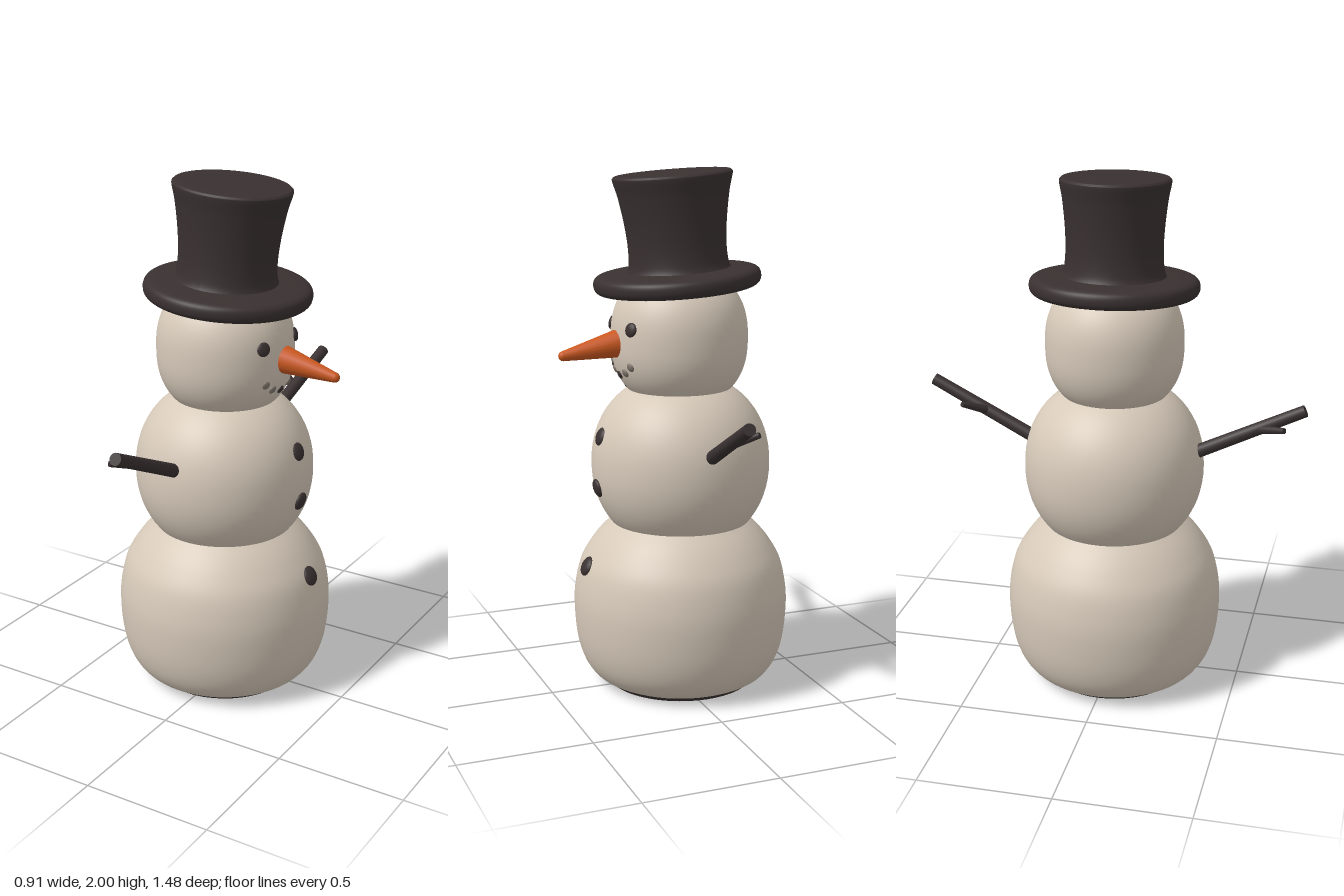
import * as THREE from 'three';

const V = (x, y, z) => new THREE.Vector3(x, y, z);
const mat = (name, color) => {
  const m = new THREE.MeshStandardMaterial({ color });
  m.name = name;
  return m;
};

export function createModel() {
  const snow = mat('snow', 0xd6c9b9);
  const coal = mat('coal', 0x3a3131);
  const carrot = mat('carrot', 0xca5820);
  const pebble = mat('pebble', 0x857b72);

  const model = new THREE.Group();
  model.name = 'snowman';
  const add = (name, geometry, material, parent = model) => {
    const mesh = new THREE.Mesh(geometry, material);
    mesh.name = name;
    parent.add(mesh);
    return mesh;
  };
  // Smooth solid of revolution through a few [radius, height] points
  const turned = (pts, steps = 40) => new THREE.LatheGeometry(
    new THREE.SplineCurve(pts.map(([r, y]) => new THREE.Vector2(r, y))).getPoints(steps)
      .map(p => p.set(Math.max(p.x, 0), p.y)), 56);
  // Slightly squared-off snowball
  const ball = (radius, power) => {
    const pts = [];
    for (let i = 0; i <= 36; i++) {
      const a = -Math.PI / 2 + Math.PI * i / 36;
      const c = Math.max(Math.cos(a), 0), s = Math.sin(a);
      pts.push(new THREE.Vector2(radius * c ** (2 / power),
        radius * Math.sign(s) * Math.abs(s) ** (2 / power)));
    }
    return new THREE.LatheGeometry(pts, 56);
  };
  // Tapered round stick from a to b
  const stick = (name, a, b, r0, r1, material, parent) => {
    const d = b.clone().sub(a);
    const mesh = add(name, new THREE.CylinderGeometry(r1, r0, d.length(), 20), material, parent);
    mesh.position.copy(a).addScaledVector(d, 0.5);
    mesh.quaternion.setFromUnitVectors(V(0, 1, 0), d.normalize());
    return mesh;
  };

  // Body
  add('lowerBody', turned([[0.29, 0.012], [0.34, 0.04], [0.382, 0.1], [0.408, 0.19], [0.418, 0.31],
    [0.412, 0.4], [0.39, 0.49], [0.35, 0.56], [0.305, 0.615], [0.25, 0.665]]), snow)
    .position.set(-0.035, 0, 0.003);
  add('base', new THREE.CylinderGeometry(0.298, 0.285, 0.018, 48), coal).position.set(-0.035, 0.009, 0.003);
  add('middleBody', ball(0.345, 2.15), snow).position.set(-0.035, 0.88, 0.003);
  add('head', ball(0.262, 2.4), snow).position.set(-0.03, 1.365, 0.003);

  // Top hat, tipped toward the face
  const hat = new THREE.Group();
  hat.name = 'hat';
  hat.position.set(-0.02, 1.585, 0);
  hat.rotation.z = -0.075;
  model.add(hat);
  add('brim', turned([[0, -0.036], [0.15, -0.037], [0.27, -0.037], [0.308, -0.026], [0.318, 0],
    [0.308, 0.026], [0.27, 0.036], [0.15, 0.042]], 60), coal, hat);
  const crown = turned([[0.205, 0.025], [0.19, 0.06], [0.187, 0.13], [0.195, 0.22], [0.212, 0.32],
    [0.228, 0.38], [0.226, 0.394], [0.205, 0.4], [0.1, 0.4], [0, 0.4]], 60);
  // The crown narrows sideways toward its top
  const p = crown.attributes.position;
  for (let i = 0; i < p.count; i++) p.setZ(i, p.getZ(i) * (1 - 0.28 * p.getY(i)));
  crown.computeVertexNormals();
  add('crown', crown, coal, hat).position.x = -0.01;

  // Carrot nose with a rounded tip
  const tip = V(0.434, 1.318, 0);
  stick('nose', V(0.19, 1.358, 0.002), tip, 0.058, 0.019, carrot);
  add('noseTip', new THREE.SphereGeometry(0.0188, 20, 14), carrot).position.copy(tip);

  // Flattened stones set against the snow
  const stone = (name, pos, normal, r, material) => {
    const mesh = add(name, new THREE.SphereGeometry(r, 20, 14), material);
    mesh.scale.z = 0.45;
    mesh.position.copy(pos);
    mesh.quaternion.setFromUnitVectors(V(0, 0, 1), normal.normalize());
  };
  const onHead = (name, y, z, r, material) => {
    const t = Math.abs(y - 1.365) / 0.262;
    const ring = 0.262 * (1 - t ** 2.4) ** (1 / 2.4);
    const x = Math.sqrt(ring * ring - z * z);
    stone(name, V(x - 0.03, y, z), V(x, y - 1.365, z), r, material);
  };
  onHead('leftEye', 1.418, -0.108, 0.027, coal);
  onHead('rightEye', 1.418, 0.118, 0.027, coal);
  [[0.1, 1.275], [0.06, 1.248], [0.004, 1.233], [-0.054, 1.248], [-0.096, 1.275]]
    .forEach(([z, y], i) => onHead('mouthStone', y, z, 0.017, i === 2 ? coal : pebble));
  stone('button', V(0.288, 1.0, 0.005), V(0.32, 0.13, 0), 0.036, coal);
  stone('button', V(0.303, 0.8, 0.005), V(0.33, -0.08, 0), 0.036, coal);
  stone('button', V(0.35, 0.495, 0.003), V(0.37, 0.2, 0), 0.039, coal);

  // Branch arms, each with a short twig
  const arm = (name, start, end, fork, twigEnd) => {
    const g = new THREE.Group();
    g.name = name;
    model.add(g);
    stick('branch', start, end, 0.026, 0.023, coal, g);
    stick('twig', fork, twigEnd, 0.018, 0.011, coal, g);
  };
  arm('frontArm', V(-0.056, 0.945, 0.29), V(-0.032, 1.152, 0.728),
    V(-0.045, 1.07, 0.56), V(-0.108, 1.095, 0.66));
  arm('backArm', V(-0.033, 0.945, -0.29), V(0.005, 1.152, -0.73),
    V(-0.02, 1.05, -0.51), V(-0.1, 1.095, -0.585));

  return model;
}
